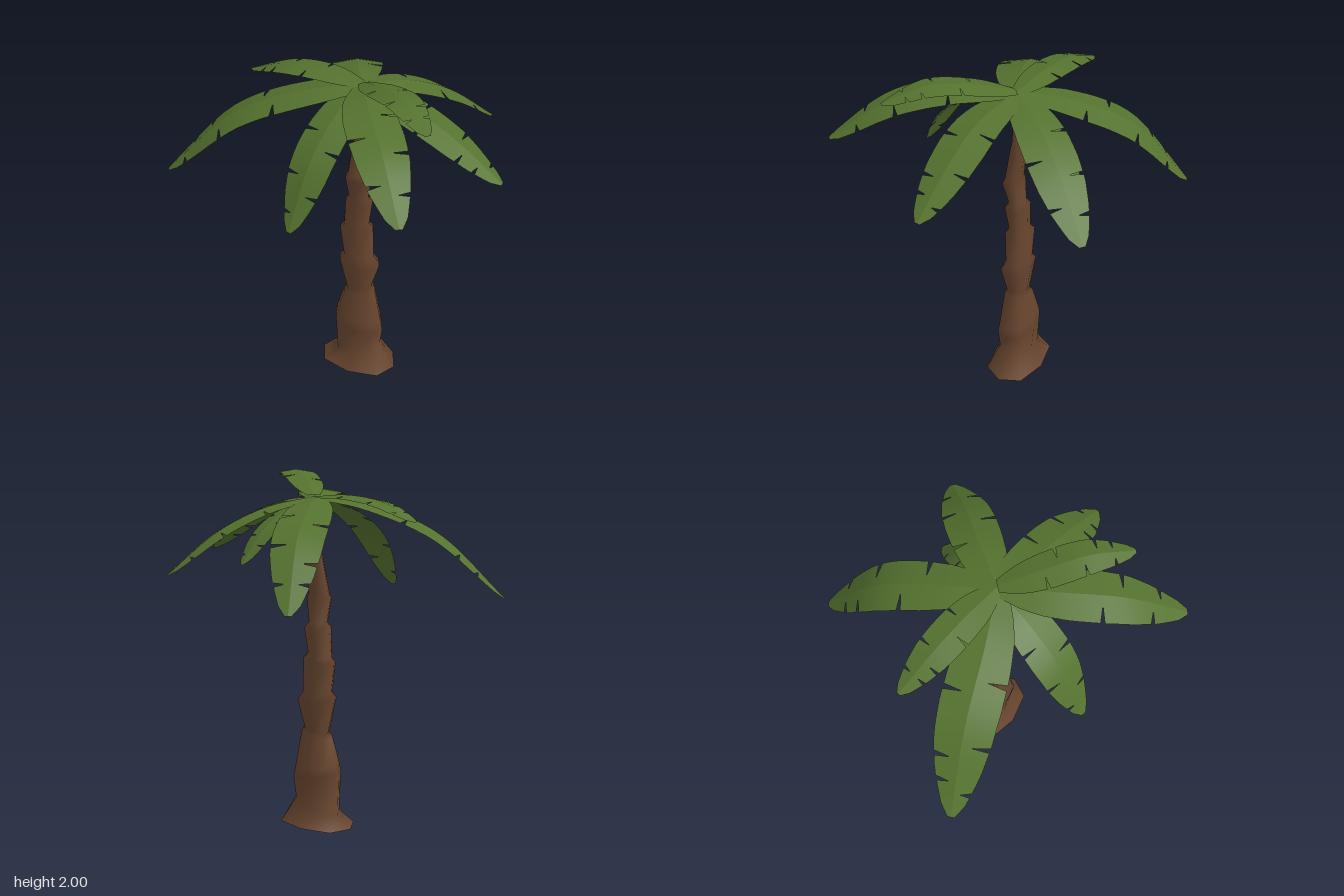
import * as THREE from 'three';
import { mergeGeometries, mergeVertices } from 'three/addons/utils/BufferGeometryUtils.js';

const bark = new THREE.MeshStandardMaterial({ name: 'bark brown', color: 0x67452e, side: THREE.DoubleSide });
const green = new THREE.MeshStandardMaterial({ name: 'leaf green', color: 0x55722f, side: THREE.DoubleSide });

// Trunk rings: height, xMin, xMax, zMin, zMax, tilt towards +x
const RINGS = [
  [0, -0.17, 0.295, -0.155, 0.16, 0],
  [0.11, -0.08, 0.2, -0.085, 0.092, 0.05],
  [0.29, -0.09, 0.213, -0.1, 0.103, -0.03],
  [0.34, -0.08, 0.2, -0.095, 0.095, -0.02],
  [0.53, -0.035, 0.157, -0.066, 0.07, 0.025],
  [0.55, -0.01, 0.137, -0.052, 0.06, 0.015],
  [0.735, -0.06, 0.185, -0.08, 0.085, -0.01],
  [0.775, -0.036, 0.15, -0.06, 0.062, 0],
  [0.96, -0.056, 0.145, -0.066, 0.07, 0.015],
  [0.99, -0.035, 0.12, -0.042, 0.052, 0.015],
  [1.145, -0.02, 0.14, -0.056, 0.07, 0],
  [1.175, 0, 0.115, -0.032, 0.05, 0],
  [1.305, -0.012, 0.14, -0.025, 0.08, 0],
  [1.34, 0, 0.125, -0.02, 0.066, 0],
  [1.53, 0.02, 0.132, -0.046, 0.03, -0.015],
  [1.58, 0.035, 0.107, -0.036, 0.024, 0],
  [1.85, 0.045, 0.1, -0.03, 0.015, 0],
];

function trunkGeometry(sides = 8) {
  const pos = [], idx = [];
  for (const [y, x0, x1, z0, z1, tilt] of RINGS) {
    for (let j = 0; j < sides; j++) {
      const a = (j / sides) * Math.PI * 2;
      const bulge = j % 2 ? 1.06 : 1; // slightly squared section
      pos.push((x0 + x1) / 2 + bulge * (x1 - x0) / 2 * Math.cos(a),
        y + tilt * Math.cos(a),
        (z0 + z1) / 2 + bulge * (z1 - z0) / 2 * Math.sin(a));
    }
  }
  for (let i = 0; i < RINGS.length - 1; i++) {
    for (let j = 0; j < sides; j++) {
      const a = i * sides + j, b = i * sides + (j + 1) % sides;
      idx.push(a, a + sides, b, b, a + sides, b + sides);
    }
  }
  const g = new THREE.BufferGeometry();
  g.setAttribute('position', new THREE.Float32BufferAttribute(pos, 3));
  g.setIndex(idx);
  g.computeVertexNormals();
  return g;
}

// Leaf half-width along its length, as a fraction of the widest point
const PROFILE = [[0, 0.35], [0.1, 0.65], [0.2, 0.86], [0.35, 0.98], [0.5, 1], [0.65, 0.94], [0.8, 0.74], [0.92, 0.46], [0.97, 0.32], [1, 0.12]];
function widthAt(t) {
  let i = 1;
  while (i < PROFILE.length - 1 && t > PROFILE[i][0]) i++;
  const [t0, w0] = PROFILE[i - 1], [t1, w1] = PROFILE[i];
  return w0 + (w1 - w0) * (t - t0) / (t1 - t0);
}

// One folded half of a leaf, with narrow slits cut in from its edge
function halfLeaf(curve, half, side, slits) {
  const N = 18, SLIT = 0.011, INNER = 0.38, FOLD = 0.16;
  const up = new THREE.Vector3(0, 1, 0), pos = [];
  const point = (t, v) => {
    const T = curve.getTangentAt(t);
    const S = new THREE.Vector3().crossVectors(T, up).normalize();
    const n = new THREE.Vector3().crossVectors(S, T);
    const w = half * widthAt(t) * v;
    return curve.getPointAt(t).addScaledVector(S, side * w).addScaledVector(n, -FOLD * w);
  };
  const quad = (a, b, c, d) => {
    const order = side > 0 ? [a, b, c, a, c, d] : [a, c, b, a, d, c];
    for (const p of order) pos.push(p.x, p.y, p.z);
  };
  for (let i = 0; i < N; i++) {
    const t0 = i / N, t1 = (i + 1) / N;
    const e0 = t0 + (slits.includes(i) ? SLIT : 0);
    const e1 = t1 - (slits.includes(i + 1) ? SLIT : 0);
    quad(point(t0, 0), point(t0, INNER), point(t1, INNER), point(t1, 0));
    quad(point(t0, INNER), point(e0, 1), point(e1, 1), point(t1, INNER));
  }
  let g = new THREE.BufferGeometry();
  g.setAttribute('position', new THREE.Float32BufferAttribute(pos, 3));
  g = mergeVertices(g, 1e-5);
  g.computeVertexNormals();
  return g;
}

// Leaves: half-width and midrib points from crown to tip
const LEAVES = [
  { name: 'backRightLeaf', half: 0.14, path: [[0.06, 1.87, 0], [-0.07, 1.825, -0.25], [-0.21, 1.7, -0.53], [-0.355, 1.36, -0.795]] },
  { name: 'backLeftLeaf', half: 0.135, path: [[0.08, 1.87, 0], [0.23, 1.82, -0.22], [0.39, 1.7, -0.43], [0.565, 1.47, -0.66]] },
  { name: 'backLeaf', half: 0.095, path: [[0.09, 1.86, 0], [0.15, 1.8, -0.17], [0.19, 1.7, -0.31], [0.22, 1.53, -0.455]] },
  { name: 'leftLeaf', half: 0.135, path: [[0.08, 1.87, 0], [0.35, 1.83, 0.05], [0.6, 1.72, 0.065], [0.88, 1.53, 0.075]] },
  { name: 'raisedLeaf', half: 0.1, path: [[0.08, 1.88, 0], [0.24, 1.955, 0.14], [0.43, 2.0, 0.29], [0.615, 1.94, 0.445]] },
  { name: 'frontLeftLeaf', half: 0.14, path: [[0.08, 1.87, 0.01], [0.23, 1.895, 0.27], [0.42, 1.84, 0.53], [0.63, 1.64, 0.795]] },
  { name: 'frontLeaf', half: 0.125, path: [[0.07, 1.87, 0.01], [0.035, 1.8, 0.23], [0, 1.64, 0.45], [-0.03, 1.32, 0.65]] },
  { name: 'frontRightLeaf', half: 0.155, path: [[0.08, 1.87, 0], [-0.19, 1.835, 0.13], [-0.54, 1.69, 0.27], [-0.88, 1.34, 0.43]] },
  { name: 'rightLeaf', half: 0.103, path: [[0.07, 1.87, 0], [-0.17, 1.888, -0.025], [-0.4, 1.86, -0.045], [-0.62, 1.77, -0.07]] },
];

// Slit stations, cycled so that neighbouring leaves differ
const SLITS = [[6, 11, 15], [9, 14], [7, 12, 16], [8, 13, 15]];

export function createModel() {
  const model = new THREE.Group();
  model.name = 'palmTree';

  const trunk = new THREE.Mesh(trunkGeometry(), bark);
  trunk.name = 'trunk';
  model.add(trunk);

  const crown = new THREE.Group();
  crown.name = 'crown';
  LEAVES.forEach(({ name, half, path }, i) => {
    const curve = new THREE.CatmullRomCurve3(path.map(p => new THREE.Vector3(...p)));
    const halves = [1, -1].map((side, k) => halfLeaf(curve, half, side, SLITS[(i + k * 3) % 4]));
    const leaf = new THREE.Mesh(mergeGeometries(halves), green);
    leaf.name = name;
    crown.add(leaf);
  });
  model.add(crown);
  return model;
}
